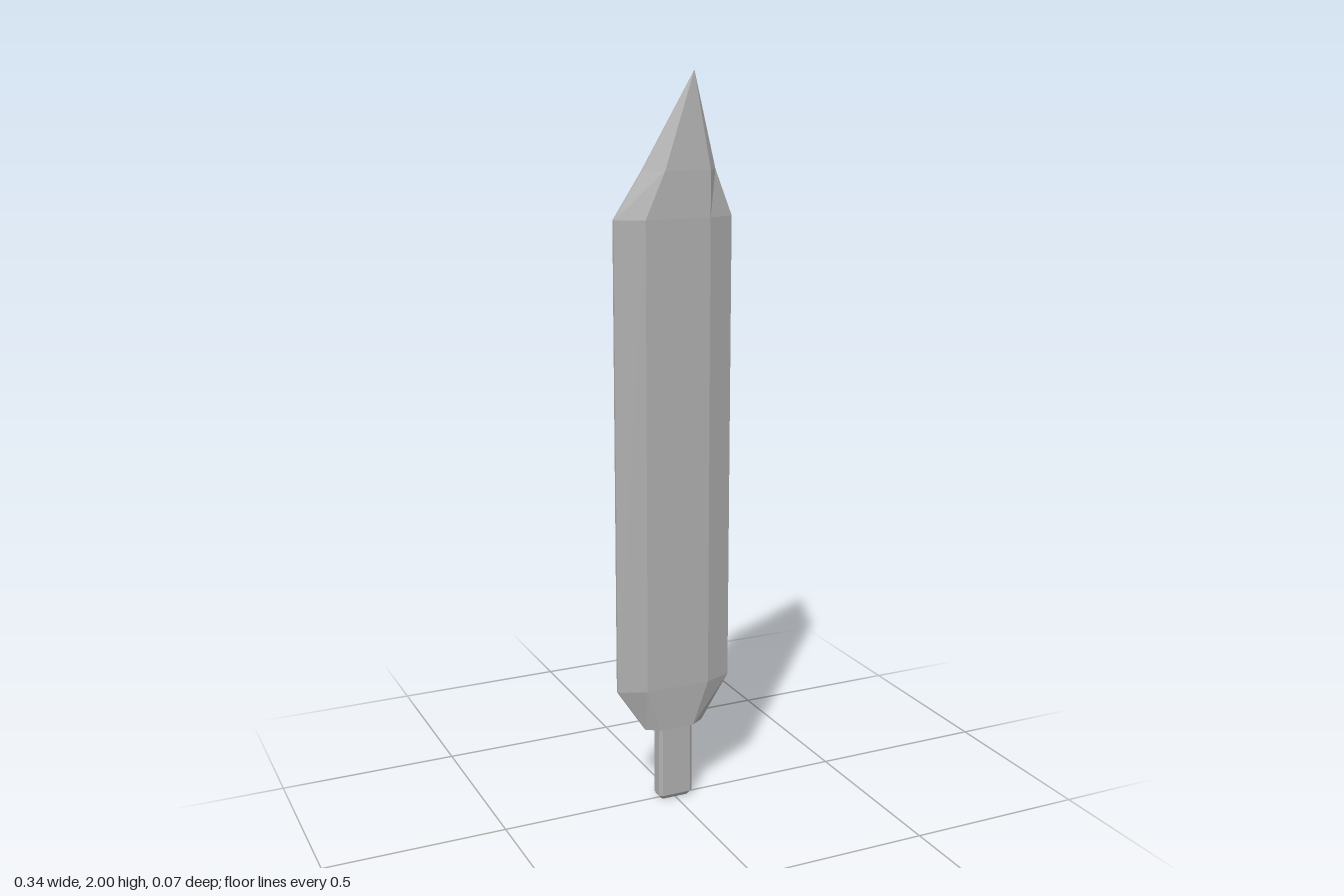
import * as THREE from 'three';

// Eight-sided cross-section: outer edges l and r, flat from fl to fr, half depth z, half edge thickness e
function ring({ y, l, r, fl, fr, z, e }) {
  return [[l, -e], [l, e], [fl, z], [fr, z], [r, e], [r, -e], [fr, -z], [fl, -z]]
    .map(([x, d]) => new THREE.Vector3(x, y, d));
}

// Symmetric section
const even = (y, w, f, z, e) => ring({ y, l: -w, r: w, fl: -f, fr: f, z, e });

// Skin rings from bottom to top, closing each end to a point
function loft(rings, bottom, top) {
  const points = [];
  for (let j = 0; j < 8; j++) {
    const k = (j + 1) % 8;
    points.push(bottom, rings[0][k], rings[0][j]);
    for (let i = 0; i < rings.length - 1; i++) {
      const a = rings[i], b = rings[i + 1];
      points.push(a[j], a[k], b[k], a[j], b[k], b[j]);
    }
    const last = rings[rings.length - 1];
    points.push(last[j], last[k], top);
  }
  const geometry = new THREE.BufferGeometry().setFromPoints(points);
  geometry.computeVertexNormals();
  return geometry;
}

export function createModel() {
  const group = new THREE.Group();
  const steel = new THREE.MeshStandardMaterial({ color: 0xb0b0b0 });
  steel.name = 'steel grey';

  const add = (name, geometry) => {
    const mesh = new THREE.Mesh(geometry, steel);
    mesh.name = name;
    group.add(mesh);
  };

  // Blade with bevelled edges and an off-centre point
  add('blade', loft([
    even(0.215, 0.086, 0.05, 0.027, 0.004),
    even(0.34, 0.168, 0.092, 0.034, 0.004),
    even(1.628, 0.168, 0.092, 0.034, 0.004),
    ring({ y: 1.75, l: -0.088, r: 0.12, fl: -0.034, fr: 0.095, z: 0.027, e: 0.003 }),
  ], new THREE.Vector3(0, 0.215, 0), new THREE.Vector3(0.06, 2, 0)));

  // Tang with chamfered corners and foot
  add('tang', loft([
    even(0, 0.041, 0.036, 0.015, 0.01),
    even(0.012, 0.05, 0.042, 0.023, 0.016),
    even(0.22, 0.05, 0.042, 0.023, 0.016),
  ], new THREE.Vector3(0, 0, 0), new THREE.Vector3(0, 0.22, 0)));

  return group;
}
